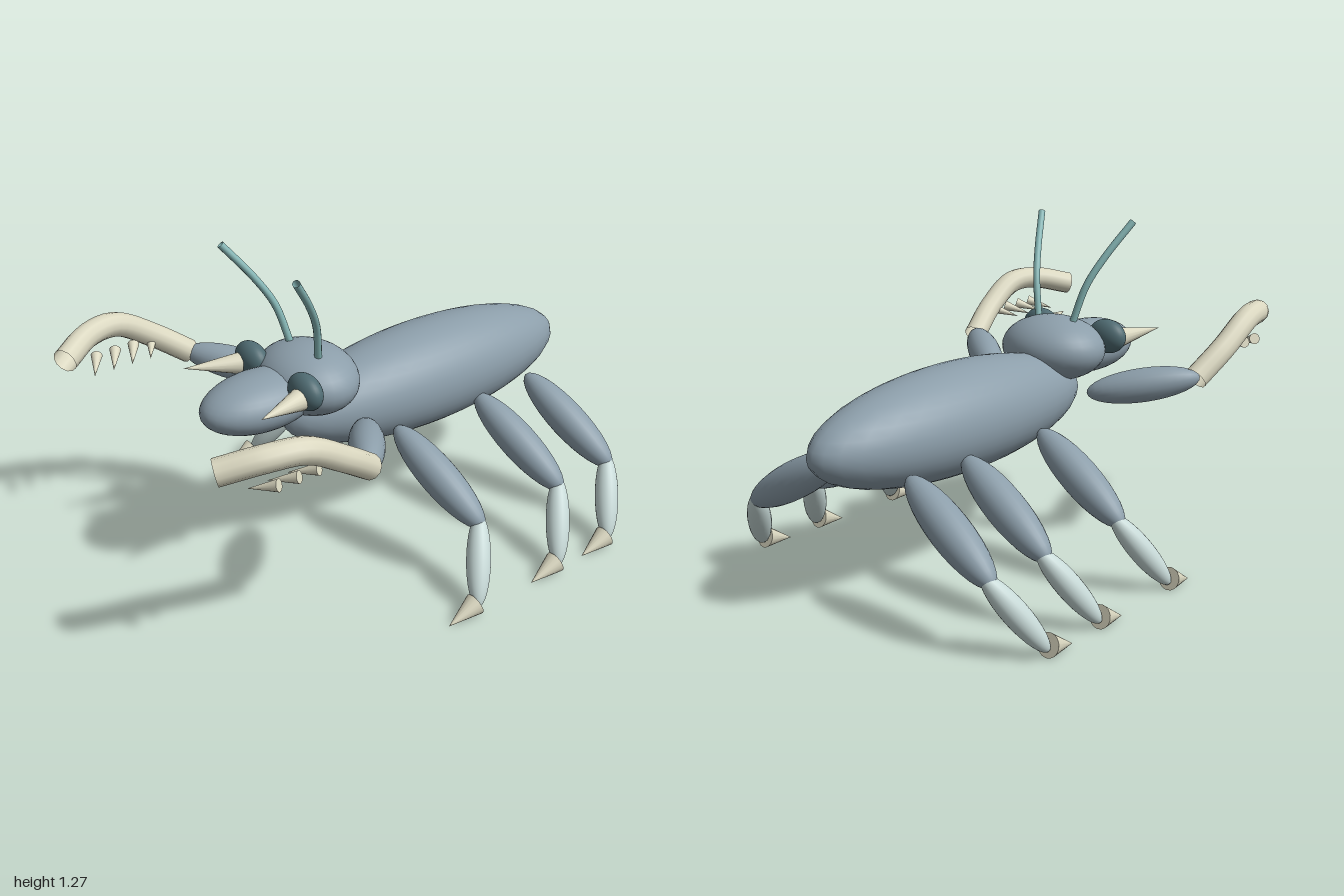
import * as THREE from 'three';

const mat = (name, color, side = THREE.FrontSide) => {
  const m = new THREE.MeshStandardMaterial({ color, side });
  m.name = name;
  return m;
};

const UP = new THREE.Vector3(0, 1, 0);

export function createModel() {
  const model = new THREE.Group();
  model.name = 'insect';
  const shell = mat('slate shell', 0x8c9eaa);
  const eyeMat = mat('dark eye', 0x4f6b72);
  const horn = mat('cream horn', 0xdad7c0, THREE.DoubleSide);
  const shin = mat('pale shin', 0xc6d8d6);
  const feeler = mat('teal feeler', 0x85b6b5, THREE.DoubleSide);

  const add = (name, geometry, material, parent = model) => {
    const mesh = new THREE.Mesh(geometry, material);
    mesh.name = name;
    parent.add(mesh);
    return mesh;
  };
  // Axis-aligned ellipsoid
  const blob = (name, pos, r, material, parent) => {
    const mesh = add(name, new THREE.SphereGeometry(1, 32, 20), material, parent);
    mesh.position.set(...pos);
    mesh.scale.set(...r);
  };
  // Places a y-axis mesh between two points
  const span = (mesh, a, b) => {
    mesh.position.copy(a).add(b).multiplyScalar(0.5);
    mesh.quaternion.setFromUnitVectors(UP, b.clone().sub(a).normalize());
    return mesh;
  };
  // Ellipsoid stretched from a to b
  const limb = (name, a, b, r, material, parent) => {
    const mesh = span(add(name, new THREE.SphereGeometry(1, 24, 16), material, parent), a, b);
    mesh.scale.set(r, a.distanceTo(b) / 2, r);
  };
  // Cone with its base at a and tip at b
  const spike = (name, a, b, r, parent) =>
    span(add(name, new THREE.ConeGeometry(r, a.distanceTo(b), 16), horn, parent), a, b);
  const tube = (name, points, r, material, parent) =>
    add(name, new THREE.TubeGeometry(new THREE.CatmullRomCurve3(points), 20, r, 12), material, parent);

  // Body, head and snout
  blob('abdomen', [0, 0.605, -0.31], [0.215, 0.205, 0.69], shell);
  blob('head', [0, 0.765, 0.27], [0.22, 0.128, 0.18], shell);
  blob('snout', [0, 0.735, 0.48], [0.15, 0.105, 0.245], shell);

  for (const s of [1, -1]) {
    const side = new THREE.Group();
    side.name = s > 0 ? 'leftSide' : 'rightSide';
    model.add(side);
    const p = (x, y, z) => new THREE.Vector3(s * x, y, z);

    // Eye, tusk and antenna
    blob('eye', [s * 0.167, 0.81, 0.4], [0.085, 0.068, 0.05], eyeMat, side);
    spike('tusk', p(0.185, 0.798, 0.44), p(0.247, 0.815, 0.647), 0.042, side);
    tube('antenna', [p(0.085, 0.87, 0.28), p(0.125, 1.02, 0.315),
      p(0.168, 1.13, 0.375), p(0.228, 1.262, 0.472)], 0.014, feeler, side);

    // Raised foreleg with an arched, toothed claw
    limb('upperArm', p(0.235, 0.635, 0.183), p(0.575, 0.705, 0.445), 0.066, shell, side);
    tube('armClaw', [p(0.565, 0.7, 0.43), p(0.598, 0.8, 0.57), p(0.602, 0.887, 0.72),
      p(0.572, 0.892, 0.85), p(0.495, 0.857, 0.99)], 0.047, horn, side);
    for (let i = 0; i < 4; i++) {
      const z = 0.64 + i * 0.079;
      spike('tooth', p(0.59, 0.79, z - 0.06), p(0.498, 0.757, z), 0.022, side);
    }

    // Three walking legs
    for (const z of [-0.05, -0.47, -0.75]) {
      const leg = new THREE.Group();
      leg.name = 'walkingLeg';
      side.add(leg);
      limb('thigh', p(0.168, 0.52, z + 0.03), p(0.605, 0.262, z - 0.03), 0.072, shell, leg);
      limb('shin', p(0.565, 0.3, z - 0.045), p(0.728, 0.03, z + 0.1), 0.046, shin, leg);
      spike('foot', p(0.72, 0.046, z + 0.107), p(0.72, 0.005, z + 0.235), 0.043, leg);
    }
  }
  return model;
}
